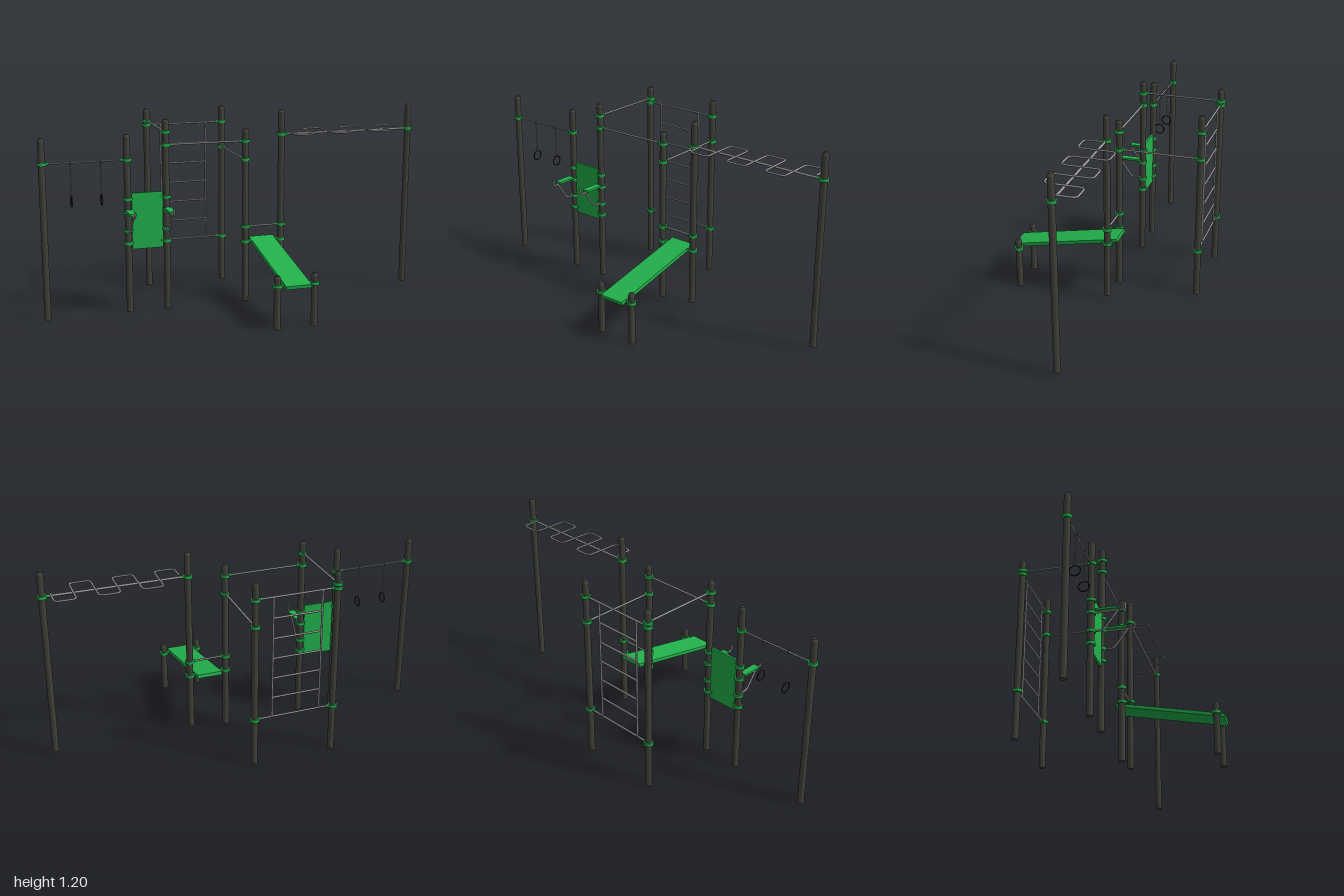
import * as THREE from 'three';

const V = (x, y, z) => new THREE.Vector3(x, y, z);
const mat = (name, color) => {
  const m = new THREE.MeshStandardMaterial({ color });
  m.name = name;
  return m;
};

export function createModel() {
  const root = new THREE.Group();
  root.name = 'outdoorGym';
  const steel = mat('galvanised steel', 0x999797);
  const dark = mat('dark post', 0x42423c);
  const green = mat('green', 0x22b24c);
  const black = mat('black ring', 0x262624);

  // Everything is laid out along one line, which stands diagonally
  const gym = new THREE.Group();
  gym.name = 'layout';
  gym.rotation.y = -0.59;
  root.add(gym);

  const add = (name, geo, material, parent = gym) => {
    const m = new THREE.Mesh(geo, material);
    m.name = name;
    parent.add(m);
    return m;
  };

  // Straight round bar between two points
  const rod = (name, a, b, r, material = steel) => {
    const m = add(name, new THREE.CylinderGeometry(r, r, a.distanceTo(b), 12), material);
    m.position.copy(a).lerp(b, 0.5);
    m.quaternion.setFromUnitVectors(V(0, 1, 0), b.clone().sub(a).normalize());
    return m;
  };

  // Pipe through points with rounded corners
  const pipe = (name, pts, r, bend) => {
    const path = new THREE.CurvePath();
    let last = pts[0];
    for (let i = 1; i < pts.length - 1; i++) {
      const p = pts[i];
      const a = p.clone().add(pts[i - 1].clone().sub(p).setLength(bend));
      const b = p.clone().add(pts[i + 1].clone().sub(p).setLength(bend));
      path.add(new THREE.LineCurve3(last, a));
      path.add(new THREE.QuadraticBezierCurve3(a, p, b));
      last = b;
    }
    path.add(new THREE.LineCurve3(last, pts[pts.length - 1]));
    return add(name, new THREE.TubeGeometry(path, pts.length * 14, r, 8), steel);
  };

  // Posts: along, across, top, bottom
  const posts = {
    A: [-1.165, 0, 1.09, 0], B: [-0.667, 0, 1.09, 0],
    C: [-0.431, 0, 1.17, 0], D: [-0.431, -0.501, 1.17, 0],
    E: [0.07, -0.501, 1.17, 0], F: [0.07, 0, 1.09, 0],
    G: [0.302, 0, 1.2, 0.03], H: [1.162, 0, 1.2, 0.03],
    I: [0.072, 0.578, 0.325, 0], J: [0.302, 0.578, 0.325, 0],
  };
  for (const [s, t, top, bottom] of Object.values(posts)) {
    const profile = [[0, bottom], [0.02, bottom], [0.02, bottom], [0.02, top - 0.018], [0.02, top - 0.018],
      [0.013, top - 0.003], [0.013, top - 0.003], [0, top]].map(([x, y]) => new THREE.Vector2(x, y));
    add('post', new THREE.LatheGeometry(profile, 20), dark).position.set(s, 0, t);
  }

  const collar = (id, y) => {
    const [s, t] = posts[id];
    add('collar', new THREE.CylinderGeometry(0.028, 0.028, 0.018, 20), green).position.set(s, y, t);
  };

  // Crossbar between two posts, with a collar and socket at each end
  const crossbar = (i, j, y, r = 0.006) => {
    const a = V(posts[i][0], y, posts[i][1]);
    const b = V(posts[j][0], y, posts[j][1]);
    rod('crossbar', a, b, r);
    const dir = b.clone().sub(a).normalize();
    for (const [id, p, k] of [[i, a, 1], [j, b, -1]]) {
      collar(id, y);
      rod('socket', p, p.clone().addScaledVector(dir, k * 0.038), 0.009, green);
    }
  };
  crossbar('A', 'B', 0.937, 0.005);
  crossbar('C', 'D', 1.092);
  crossbar('C', 'F', 1.014);
  crossbar('D', 'E', 1.066);
  crossbar('D', 'E', 0.298);
  crossbar('E', 'F', 0.9);
  crossbar('F', 'G', 0.478);
  crossbar('F', 'G', 0.383);
  crossbar('G', 'H', 1.044, 0.007);
  crossbar('I', 'J', 0.26);

  // Wall ladder
  for (const s of [-0.34, -0.04]) rod('ladderRail', V(s, 0.298, -0.501), V(s, 1.066, -0.501), 0.006);
  for (let i = 0; i < 5; i++) {
    const y = 0.426 + i * 0.1275;
    rod('ladderRung', V(-0.34, y, -0.501), V(-0.04, y, -0.501), 0.006);
  }

  // Serpentine overhead grip
  const snake = [V(0.352, 1.054, 0)];
  for (let i = 0; i < 6; i++) {
    const t = i % 2 ? -0.116 : 0.116;
    snake.push(V(0.352 + i * 0.1267, 1.054, t), V(0.352 + (i + 1) * 0.1267, 1.054, t));
  }
  snake.push(V(1.112, 1.054, 0));
  pipe('serpentineGrip', snake, 0.006, 0.03);

  // Hanging rings on chains
  const link = new THREE.TorusGeometry(0.0055, 0.0017, 6, 10);
  link.scale(0.8, 1.6, 1);
  for (const s of [-1.0, -0.823]) {
    const set = new THREE.Group();
    set.name = 'hangingRing';
    set.position.set(s, 0, 0);
    set.rotation.y = Math.PI / 2;
    gym.add(set);
    for (let i = 0; i < 14; i++) {
      const l = add('chainLink', link, steel, set);
      l.position.y = 0.93 - i * 0.0144;
      l.rotation.y = (i % 2) * Math.PI / 2;
    }
    add('ring', new THREE.TorusGeometry(0.031, 0.004, 8, 28), black, set).position.y = 0.707;
    const hanger = add('hanger', new THREE.TorusGeometry(0.008, 0.002, 6, 14), black, set);
    hanger.position.y = 0.936;
  }

  // Back panel with its collars
  add('backPanel', new THREE.BoxGeometry(0.19, 0.345, 0.013), green).position.set(-0.549, 0.5625, 0);
  for (const y of [0.7, 0.43]) {
    for (const id of ['B', 'C']) collar(id, y);
    for (const s of [-0.65, -0.448]) {
      add('panelBracket', new THREE.BoxGeometry(0.04, 0.016, 0.017), green).position.set(s, y, 0);
    }
  }

  // Dip handles with arm pads
  for (const id of ['B', 'C']) {
    const s = posts[id][0];
    collar(id, 0.62);
    collar(id, 0.506);
    pipe('dipHandle', [V(s, 0.622, 0), V(s, 0.622, 0.198), V(s, 0.665, 0.198)], 0.006, 0.015);
    pipe('dipStrut', [V(s, 0.507, 0), V(s, 0.507, 0.072), V(s, 0.622, 0.156)], 0.006, 0.02);
    add('armPad', new THREE.BoxGeometry(0.042, 0.013, 0.125), green).position.set(s, 0.633, 0.09);
  }

  // Sloping sit-up bench
  const bench = add('bench', new THREE.BoxGeometry(0.156, 0.022, 0.683), green);
  bench.position.set(0.188, 0.322, 0.287);
  bench.rotation.x = Math.atan(0.197);

  return root;
}
